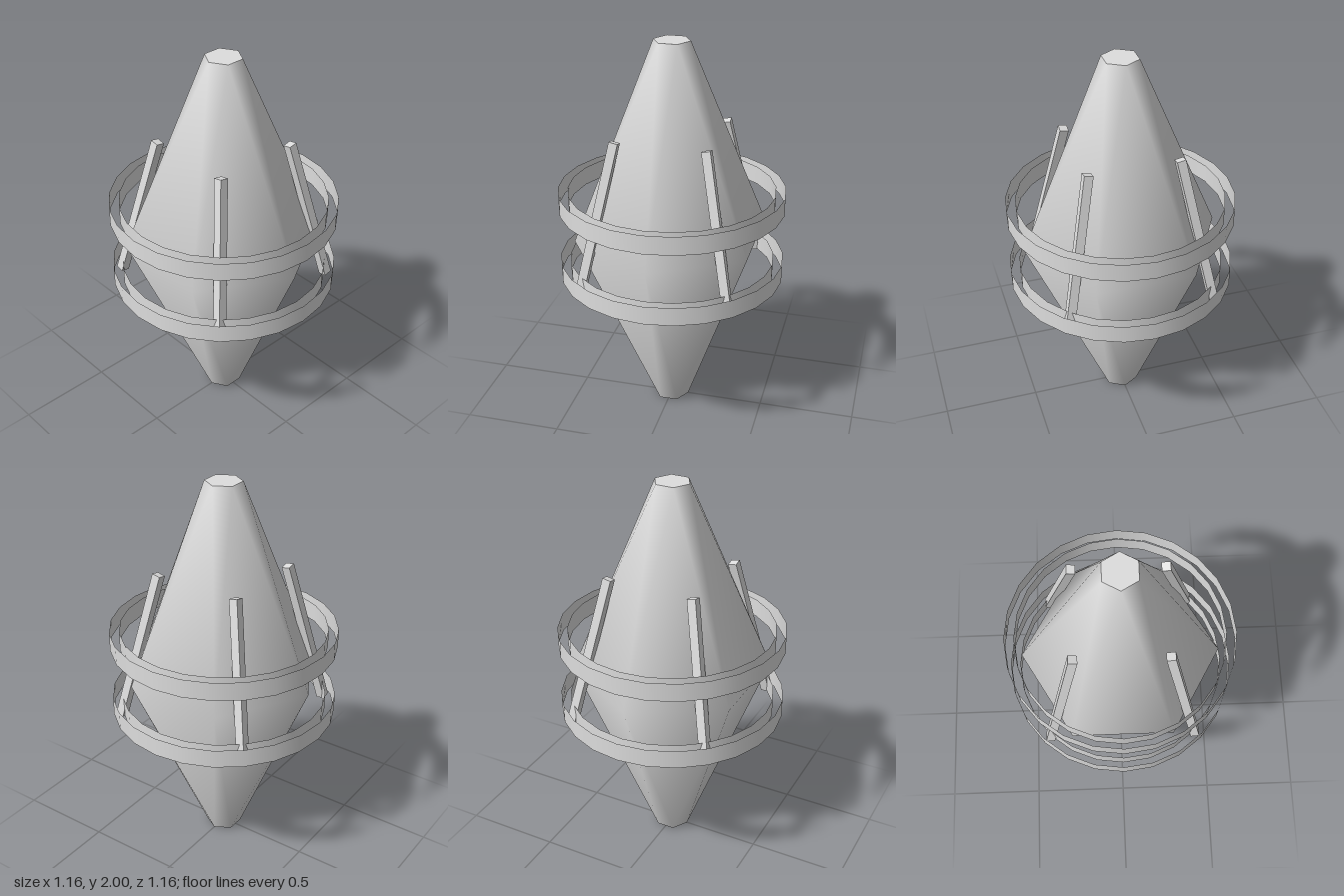
import * as THREE from 'three';

export function createModel() {
  const group = new THREE.Group();
  const grey = new THREE.MeshStandardMaterial({ color: 0xdddddd, side: THREE.DoubleSide });
  grey.name = 'light grey';

  const add = (name, geometry) => {
    const mesh = new THREE.Mesh(geometry, grey);
    mesh.name = name;
    group.add(mesh);
    return mesh;
  };

  // Hull: three hexagons, the wide middle one turned by 30 degrees, smoothly shaded
  const sides = 6, tipRadius = 0.093;
  const rings = [[0, tipRadius, 0], [1, 0.51, Math.PI / 6], [2, tipRadius, 0]];
  const positions = [], index = [];
  for (const [y, r, turn] of rings) {
    for (let i = 0; i < sides; i++) {
      const a = turn + (i / sides) * Math.PI * 2;
      positions.push(r * Math.sin(a), y, r * Math.cos(a));
    }
  }
  for (let i = 0; i < sides; i++) {
    const n = (i + 1) % sides;
    const b = i, bn = n, m = sides + i, mn = sides + n, t = 2 * sides + i, tn = 2 * sides + n;
    index.push(b, bn, m, m, bn, mn, m, mn, tn, m, tn, t);
  }
  const hull = new THREE.BufferGeometry();
  hull.setAttribute('position', new THREE.Float32BufferAttribute(positions, 3));
  hull.setIndex(index);
  hull.computeVertexNormals();
  add('hull', hull);

  // Flat hexagonal ends
  const cap = () => new THREE.CircleGeometry(tipRadius, sides).rotateZ(Math.PI / 2);
  add('topCap', cap().rotateX(-Math.PI / 2).translate(0, 2, 0));
  add('bottomCap', cap().rotateX(Math.PI / 2));

  // Hoops: an outer and an inner wall, open along the rims
  const wall = (r, y0, y1) =>
    new THREE.LatheGeometry([new THREE.Vector2(r, y0), new THREE.Vector2(r, y1)], 24);
  for (const [name, y] of [['lowerHoop', 0.815], ['upperHoop', 1.19]]) {
    add(name + 'Outer', wall(0.58, y - 0.048, y + 0.048));
    add(name + 'Inner', wall(0.53, y + 0.048, y - 0.048));
  }

  // Four leaning struts that carry the hoops
  const up = new THREE.Vector3(0, 1, 0);
  for (const sx of [-1, 1]) {
    for (const sz of [-1, 1]) {
      const low = new THREE.Vector3(0.38 * sx, 0.765, 0.38 * sz);
      const high = new THREE.Vector3(0.228 * sx, 1.54, 0.228 * sz);
      const dir = high.clone().sub(low);
      const strut = add('strut', new THREE.BoxGeometry(0.045, dir.length(), 0.045));
      strut.position.copy(low).add(high).multiplyScalar(0.5);
      strut.quaternion.setFromUnitVectors(up, dir.normalize());
    }
  }

  return group;
}
